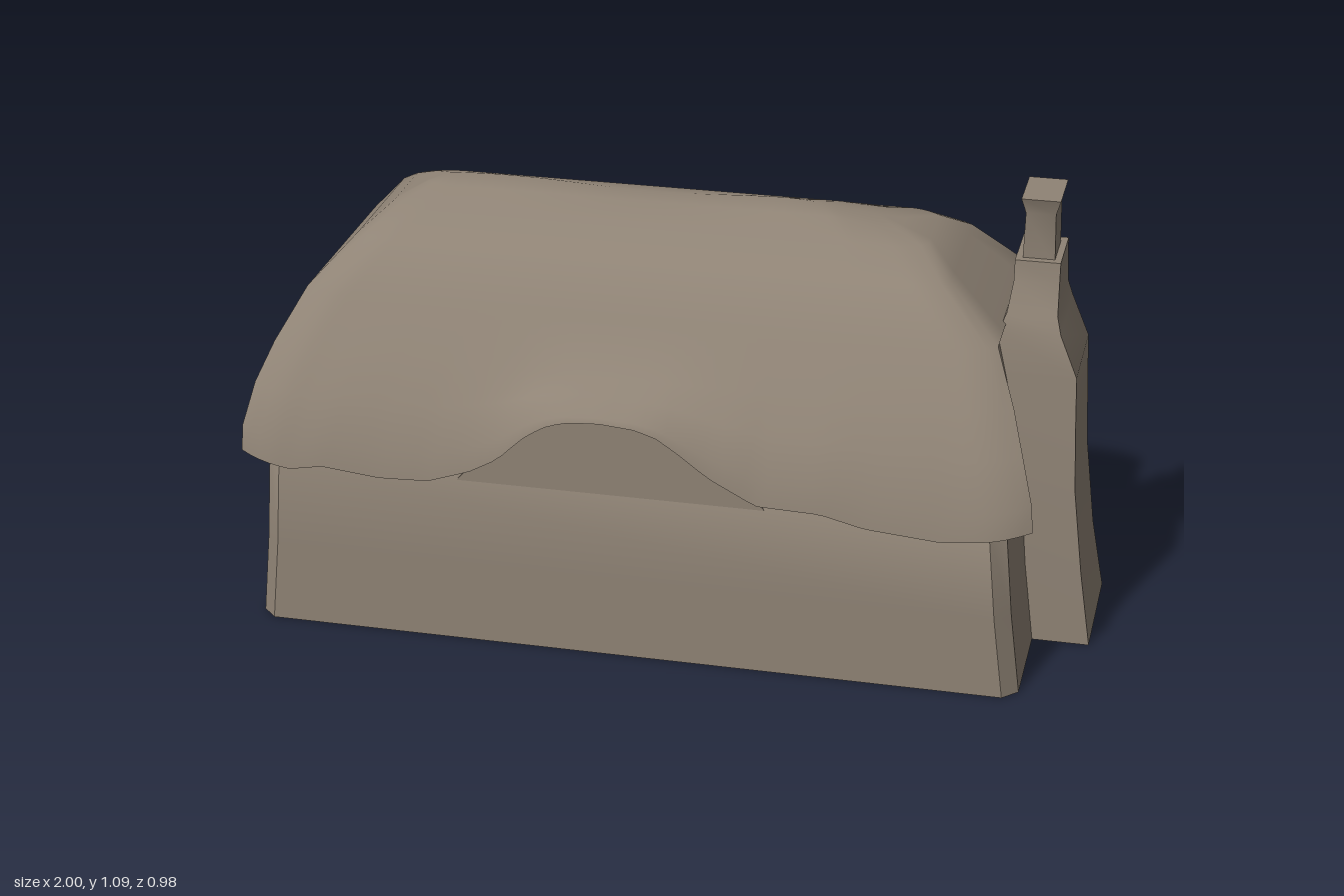
import * as THREE from 'three';
import { mergeGeometries, toCreasedNormals } from 'three/addons/utils/BufferGeometryUtils.js';

const V = (x, y, z) => new THREE.Vector3(x, y, z);
const lerp = THREE.MathUtils.lerp;

// Piecewise linear lookup in [[x, y], ...]
function lookup(table, x) {
  for (let i = 1; i < table.length; i++) {
    const [x0, y0] = table[i - 1], [x1, y1] = table[i];
    if (x <= x1) return lerp(y0, y1, Math.max(0, (x - x0) / (x1 - x0)));
  }
  return table[table.length - 1][1];
}

// Surface through a grid of points; flip turns it over
function grid(P, flip = false) {
  const pos = [];
  for (let i = 0; i < P.length - 1; i++) {
    for (let j = 0; j < P[i].length - 1; j++) {
      const a = P[i][j], b = P[i + 1][j], c = P[i + 1][j + 1], d = P[i][j + 1];
      const tris = flip ? [a, c, b, a, d, c] : [a, b, c, a, c, d];
      tris.forEach((p) => pos.push(p.x, p.y, p.z));
    }
  }
  const g = new THREE.BufferGeometry();
  g.setAttribute('position', new THREE.Float32BufferAttribute(pos, 3));
  return g;
}

// Capped loft of rectangular rings [y, xL, xR, zBack, zFront], optionally with cut corners
function loft(rings, c = 0) {
  const loops = rings.map(([y, l, r, b, f]) => {
    const pts = c
      ? [V(r - c, y, f), V(l + c, y, f), V(l, y, f - c), V(l, y, b + 0.004), V(l + 0.004, y, b),
        V(r - c, y, b), V(r, y, b + c), V(r, y, f - c)]
      : [V(r, y, f), V(l, y, f), V(l, y, b), V(r, y, b)];
    return [...pts, pts[0]];
  });
  const centre = ([y, l, r, b, f], n) => Array(n).fill(V((l + r) / 2, y, (b + f) / 2));
  const n = loops[0].length;
  return toCreasedNormals(
    grid([centre(rings[0], n), ...loops, centre(rings[rings.length - 1], n)]), 0.6);
}

// Wavy lower edge of the thatch, with an eyebrow arch at the front
const frontEave = [[-1, 0.43], [-0.87, 0.41], [-0.79, 0.425], [-0.65, 0.41], [-0.53, 0.415],
  [-0.43, 0.45], [-0.36, 0.49], [-0.3, 0.55], [-0.25, 0.585], [-0.2, 0.603], [-0.12, 0.61], [-0.03, 0.602],
  [0.02, 0.585], [0.07, 0.55], [0.14, 0.495], [0.25, 0.435], [0.4, 0.43], [0.5, 0.405], [0.68, 0.39],
  [0.8, 0.405], [0.88, 0.42]];
const backEave = [[-1, 0.4], [-0.85, 0.365], [-0.65, 0.365], [-0.45, 0.385], [-0.2, 0.415], [0.1, 0.41],
  [0.5, 0.42], [0.88, 0.405]];

// Left and right limits of each thatch row, from inner underside up to the ridge
const extents = [[-0.9, 0.78], [-0.975, 0.855], [-1, 0.88], [-0.998, 0.875], [-0.975, 0.845], [-0.94, 0.815],
  [-0.875, 0.765], [-0.77, 0.64], [-0.71, 0.575], [-0.645, 0.5], [-0.6, 0.45]];
const TOP = 10, HIP = 6;

// Point of the thatch: t runs along x, k is the row, side is +1 front or -1 back
function roofPoint(t, k, side) {
  const x = lerp(extents[k][0], extents[k][1], t);
  const front = side > 0;
  const e = lookup(front ? frontEave : backEave, x);
  const arch = front ? THREE.MathUtils.clamp((e - 0.43) / 0.18, 0, 1) : 0;
  const lip = e + 0.05 * (1 - arch) + 0.012;
  const ridge = 1.0 + 0.006 * Math.cos((x + 0.45) * 9) - 0.02 * THREE.MathUtils.smoothstep(x, 0.2, 0.5);
  const rows = front
    ? [[0.36, e + 0.08], [0.43, e + 0.015], [0.48 + 0.01 * arch, e], [0.47 + 0.015 * arch, lip],
      [0.43, lerp(0.675, lip, 0.46)], [0.38, 0.675], [0.31, 0.795], [0.23, 0.91], [0.13, 0.958], [0.05, 0.988]]
    : [[0.36, e + 0.08], [0.44, e + 0.015], [0.488, e], [0.488, lip],
      [0.425, lerp(0.655, lip, 0.5)], [0.36, 0.655], [0.28, 0.795], [0.2, 0.91], [0.12, 0.958], [0.05, 0.988]];
  let [z, y] = k === TOP ? [0, ridge] : rows[k];
  if (k === TOP - 1) y = Math.min(y, ridge - 0.006);
  // Roll the thatch inwards near the gable ends
  const d = Math.min(t, 1 - t);
  if (d < 0.06) z -= Math.min(0.035, z * 0.3) * (1 - d / 0.06) ** 2;
  return V(x, y, side * z);
}

function thatchGeometry() {
  const parts = [], columns = [], N = 72;
  for (let i = 0; i <= N; i++) {
    const col = [];
    for (let j = 0; j <= 2 * TOP; j++) {
      col.push(j <= TOP ? roofPoint(i / N, j, 1) : roofPoint(i / N, 2 * TOP - j, -1));
    }
    columns.push(col);
  }
  parts.push(grid(columns));

  for (const t of [0, 1]) {
    const inward = t ? -1 : 1;
    // Half hip, and the narrow edge below it
    const hip = [];
    for (let k = HIP; k <= TOP; k++) {
      const a = roofPoint(t, k, -1), b = roofPoint(t, k, 1);
      hip.push([0, 1, 2, 3, 4, 5, 6].map((s) => a.clone().lerp(b, s / 6)));
    }
    const under = [0.14, 0.03].map((dx) => hip[0].map((p) =>
      V(p.x + inward * dx, p.y - 0.02, p.z * 0.82)));
    parts.push(grid([...under, ...hip], t === 0));

    // Thick sloping verges down both sides of the gable
    for (const side of [1, -1]) {
      const verge = [];
      for (let k = 2; k <= HIP; k++) {
        const p = roofPoint(t, k, side);
        const dz = side * (k === 2 ? 0.03 : 0.05), dy = k === 2 ? 0.012 : -0.02;
        verge.push([p, V(p.x + inward * 0.025, p.y + dy, p.z - dz),
          V(p.x + inward * 0.13, p.y + dy, p.z - dz)]);
      }
      parts.push(grid(verge, (side > 0) === (t === 1) ? true : false).clone());
      if (t === 1) parts[parts.length - 1] = grid(verge, side > 0);
      else parts[parts.length - 1] = grid(verge, side < 0);
    }
  }
  return toCreasedNormals(mergeGeometries(parts), 0.85);
}

export function createModel() {
  const group = new THREE.Group();
  const clay = new THREE.MeshStandardMaterial({ color: 0x8f8375, side: THREE.DoubleSide });
  clay.name = 'warm grey brown';
  const add = (name, geometry) => {
    const mesh = new THREE.Mesh(geometry, clay);
    mesh.name = name;
    group.add(mesh);
  };

  // Cottage walls, flaring slightly at the foot
  add('walls', loft([
    [0, -0.97, 0.865, -0.44, 0.47],
    [0.2, -0.95, 0.84, -0.44, 0.47],
    [0.42, -0.935, 0.82, -0.44, 0.468],
    [0.6, -0.9, 0.79, -0.33, 0.345],
    [0.785, -0.855, 0.745, -0.22, 0.23],
  ], 0.035));

  // Wall filling the eyebrow arch
  const arch = new THREE.Shape();
  arch.moveTo(0.3, 0.38);
  arch.lineTo(-0.5, 0.38);
  frontEave.filter(([x]) => x > -0.5 && x < 0.3).forEach(([x, y]) => arch.lineTo(x, y + 0.008));
  const archWall = new THREE.ExtrudeGeometry(arch, { depth: 0.07, bevelEnabled: false });
  archWall.translate(0, 0, 0.398);
  add('eyebrowWall', archWall);

  add('thatchedRoof', thatchGeometry());

  // Chimney breast against the gable
  add('chimneyBreast', loft([
    [0, 0.74, 1.0, -0.135, 0.18],
    [0.19, 0.74, 0.972, -0.095, 0.18],
    [0.4, 0.74, 0.947, -0.1, 0.175],
    [0.55, 0.74, 0.94, -0.1, 0.168],
    [0.68, 0.74, 0.935, -0.1, 0.158],
    [0.78, 0.75, 0.893, -0.1, 0.15],
    [0.82, 0.765, 0.882, -0.088, 0.135],
    [0.89, 0.775, 0.88, -0.07, 0.11],
    [0.94, 0.775, 0.88, -0.058, 0.105],
  ]));

  // Chimney stack with flared cap
  add('chimneyStack', loft([
    [0.92, 0.79, 0.865, -0.032, 0.086],
    [1.05, 0.793, 0.862, -0.032, 0.086],
    [1.088, 0.783, 0.873, -0.046, 0.1],
  ]));
  return group;
}
